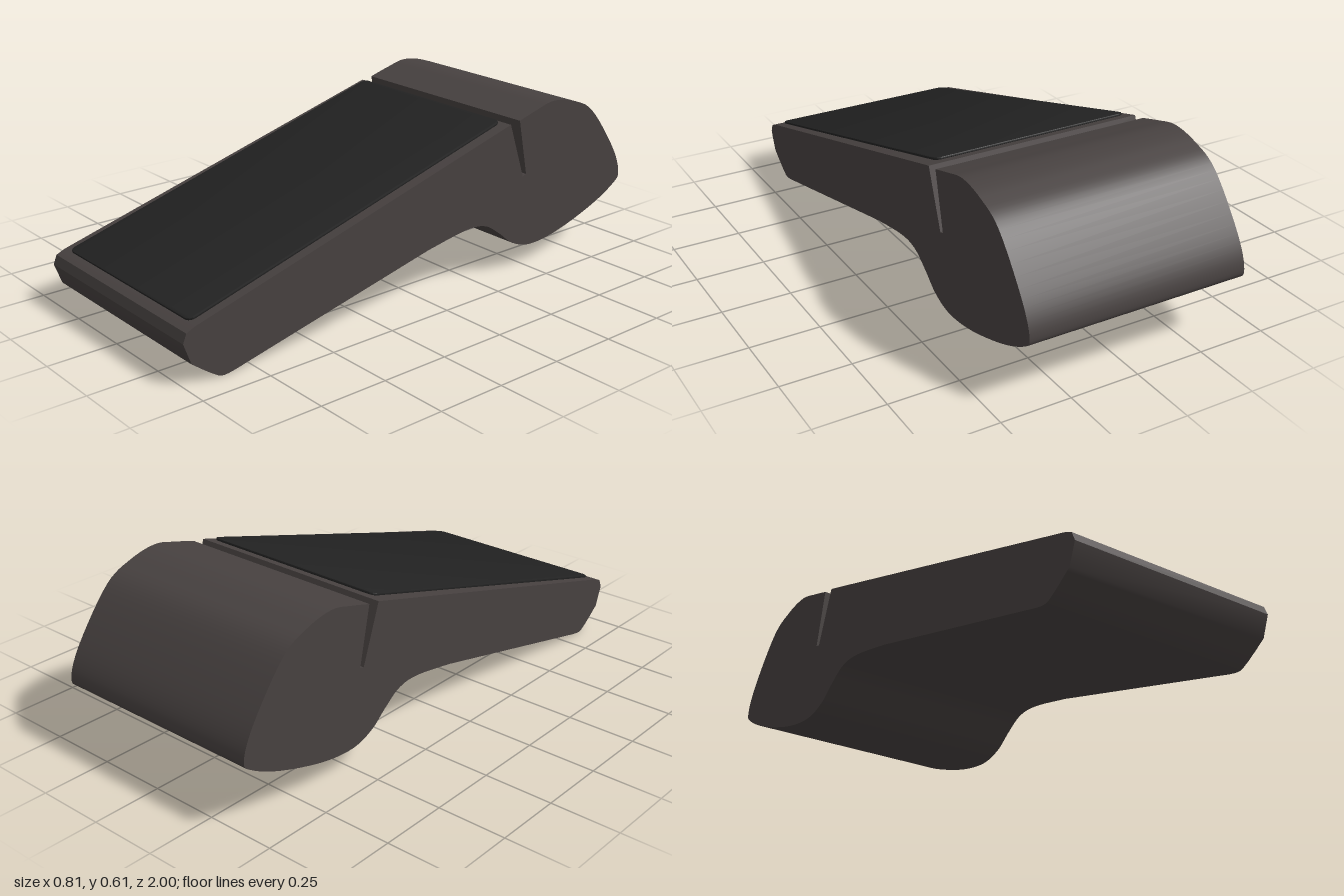
import * as THREE from 'three';
import { toCreasedNormals } from 'three/addons/utils/BufferGeometryUtils.js';

const WIDTH = 0.806;
const vec = (p) => new THREE.Vector2(p[0], p[1]);

// Smooth run of side-profile points (z, y)
function smooth(points, divisions) {
  return new THREE.SplineCurve(points.map(vec)).getPoints(divisions);
}

function roundedRect(w, h, r) {
  const s = new THREE.Shape();
  s.absarc(w / 2 - r, h / 2 - r, r, 0, Math.PI / 2);
  s.absarc(-w / 2 + r, h / 2 - r, r, Math.PI / 2, Math.PI);
  s.absarc(-w / 2 + r, -h / 2 + r, r, Math.PI, Math.PI * 1.5);
  s.absarc(w / 2 - r, -h / 2 + r, r, Math.PI * 1.5, Math.PI * 2);
  s.closePath();
  return s;
}

export function createModel() {
  const group = new THREE.Group();
  const bodyMaterial = new THREE.MeshStandardMaterial({ color: 0x474140 });
  bodyMaterial.name = 'warm grey casing';
  const screenMaterial = new THREE.MeshStandardMaterial({ color: 0x222222 });
  screenMaterial.name = 'black glass';

  // Body: one side profile with a narrow paper slot, extruded across the width
  const hump = smooth([
    [-0.43, 0.573], [-0.513, 0.596], [-0.604, 0.615], [-0.711, 0.595], [-0.82, 0.539],
    [-0.952, 0.37], [-0.998, 0.262], [-0.968, 0.218], [-0.845, 0.158], [-0.658, 0.101],
    [-0.513, 0.085], [-0.417, 0.113], [-0.348, 0.166], [-0.273, 0.213], [-0.176, 0.221], [0, 0.193],
  ], 90);
  const chin = smooth([[0.76, 0.019], [0.85, 0.001], [0.893, 0.016], [0.973, 0.075]], 14);
  const nose = [[1, 0.15], [0.987, 0.182], [0.955, 0.196]].map(vec);
  const slot = [[-0.385, 0.567], [-0.457, 0.36], [-0.474, 0.365]].map(vec);
  const profile = new THREE.Shape([...slot, ...hump, ...chin, ...nose]);

  let bodyGeometry = new THREE.ExtrudeGeometry(profile, { depth: WIDTH, bevelEnabled: false });
  bodyGeometry.translate(0, 0, -WIDTH / 2);
  bodyGeometry.rotateY(-Math.PI / 2);
  bodyGeometry = toCreasedNormals(bodyGeometry, 0.6);
  const body = new THREE.Mesh(bodyGeometry, bodyMaterial);
  body.name = 'body';
  group.add(body);

  // Screen: thin rounded plate floating just above the sloped top
  const front = new THREE.Vector2(0.955, 0.203);
  const back = new THREE.Vector2(-0.367, 0.577);
  const bevel = 0.003;
  const length = front.distanceTo(back);
  const plate = roundedRect(0.738 - 2 * bevel, length - 2 * bevel, 0.022);
  let screenGeometry = new THREE.ExtrudeGeometry(plate, {
    depth: 0.003, bevelThickness: bevel, bevelSize: bevel, bevelSegments: 2, curveSegments: 6,
  });
  screenGeometry.translate(0, 0, -0.006);
  screenGeometry = toCreasedNormals(screenGeometry, 0.6);
  const screen = new THREE.Mesh(screenGeometry, screenMaterial);
  screen.name = 'screen';
  screen.position.set(0, (front.y + back.y) / 2 + 0.001, (front.x + back.x) / 2);
  screen.rotation.x = -Math.PI / 2 + Math.atan2(back.y - front.y, front.x - back.x);
  group.add(screen);

  return group;
}
